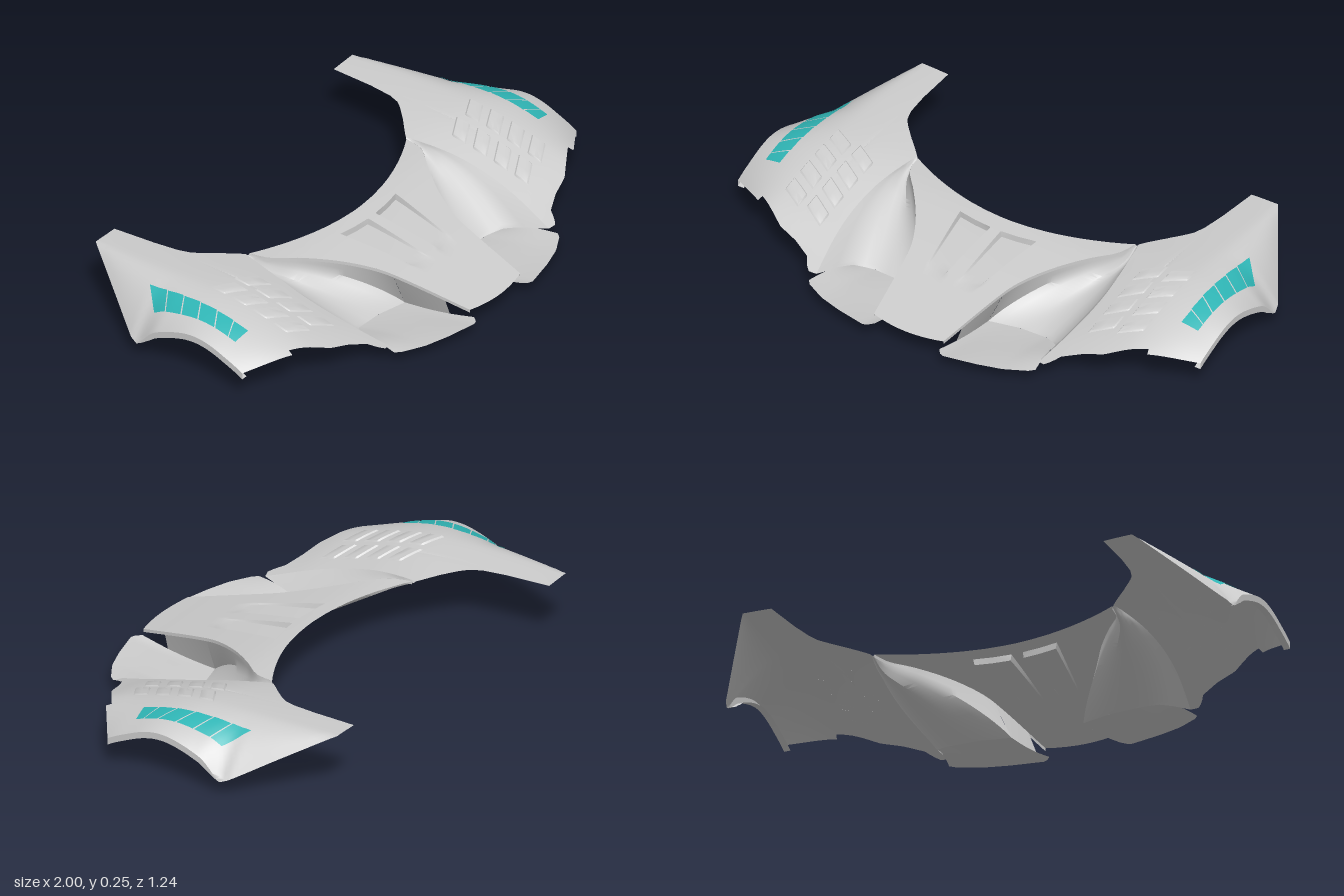
import * as THREE from 'three';
import { toCreasedNormals } from 'three/addons/utils/BufferGeometryUtils.js';

const grey = new THREE.MeshStandardMaterial({ color: 0xcccccc, side: THREE.DoubleSide });
const teal = new THREE.MeshStandardMaterial({ color: 0x2fb5b5, side: THREE.DoubleSide });
const { lerp, clamp } = THREE.MathUtils;
const steps = (n, a = 0, b = 1) => Array.from({ length: n + 1 }, (_, i) => lerp(a, b, i / n));

// Interpolates [input, value] pairs, straight or smoothed
function curve(pts, smooth = false) {
  const slope = (i) => {
    const a = pts[Math.max(i - 1, 0)], b = pts[Math.min(i + 1, pts.length - 1)];
    return (b[1] - a[1]) / (b[0] - a[0]);
  };
  return (x) => {
    if (x <= pts[0][0]) return pts[0][1];
    if (x >= pts[pts.length - 1][0]) return pts[pts.length - 1][1];
    let i = 0;
    while (x > pts[i + 1][0]) i++;
    const [x0, y0] = pts[i], [x1, y1] = pts[i + 1], h = x1 - x0, t = (x - x0) / h;
    if (!smooth) return lerp(y0, y1, t);
    return y0 * (1 + 2 * t) * (1 - t) ** 2 + y1 * t * t * (3 - 2 * t)
      + h * slope(i) * t * (1 - t) ** 2 - h * slope(i + 1) * t * t * (1 - t);
  };
}

// Sheet sampled at us (across) and vs (back to front)
function sheet(name, us, vs, f, mat = grey, side = 1) {
  const pos = [], idx = [], n = vs.length;
  us.forEach((u) => vs.forEach((v) => {
    const [x, y, z] = f(u, v);
    pos.push(x * side, y, z);
  }));
  for (let i = 0; i < us.length - 1; i++) {
    for (let j = 0; j < n - 1; j++) {
      const a = i * n + j, b = a + 1, c = a + n, d = c + 1;
      idx.push(...(side > 0 ? [a, b, c, b, d, c] : [a, c, b, b, c, d]));
    }
  }
  const g = new THREE.BufferGeometry();
  g.setAttribute('position', new THREE.Float32BufferAttribute(pos, 3));
  g.setIndex(idx);
  const mesh = new THREE.Mesh(toCreasedNormals(g, 0.7), mat);
  mesh.name = name;
  return mesh;
}

// Fender outline and heights
const backZ = curve([[0.47, -0.16], [0.5, -0.19], [0.55, -0.235], [0.6, -0.285], [0.62, -0.312], [0.635, -0.355],
  [0.647, -0.45], [0.656, -0.62], [0.77, -0.62], [0.99, -0.3], [1, -0.27]]);
const frontZ = curve([[0.47, 0.46], [0.51, 0.47], [0.53, 0.45], [0.55, 0.42], [0.62, 0.39], [0.7, 0.37],
  [0.78, 0.32], [0.835, 0.285], [0.842, 0.305], [1, 0.2]]);
const outerX = curve([[-0.62, 0.771], [-0.3, 0.99], [-0.27, 1]]);
const ridgeY = curve([[-0.62, 0.235], [-0.35, 0.24], [-0.1, 0.24], [0, 0.23], [0.1, 0.21], [0.2, 0.185],
  [0.3, 0.158], [0.4, 0.12], [0.47, 0.1]], true);
const innerY = curve([[-0.62, 0.22], [-0.17, 0.203], [0, 0.175], [0.1, 0.15], [0.2, 0.125], [0.3, 0.1], [0.47, 0.055]], true);
const rimY = curve([[-0.62, 0.235], [-0.45, 0.147], [-0.28, 0.058], [-0.265, 0.06], [-0.2, 0.125], [-0.15, 0.15],
  [-0.1, 0.168], [-0.05, 0.18], [0, 0.182], [0.05, 0.173], [0.1, 0.155], [0.2, 0.108], [0.31, 0.03]], true);
function fenderY(x, z) {
  const r = ridgeY(z);
  return x < 0.77
    ? lerp(r, innerY(z), ((0.77 - x) / 0.3) ** 1.5)
    : lerp(r, rimY(z), Math.min(1, (x - 0.77) / (outerX(z) - 0.77)) ** 2);
}

// Seam between fender and air channel, bowed outward
const seamX = (t) => 0.48 + 0.045 * Math.sin(Math.PI * t);

// Fender columns past 1 fold down and inward around the wheel arch
const fenderColumns = [...steps(10, 0.48, 0.62), 0.635, 0.647, 0.656, ...steps(10, 0.67, 0.835),
  ...steps(14, 0.842, 0.99), 1, 1.1, 1.2];
function fenderPoint(u, t) {
  const edge = Math.min(u, 1), z = lerp(backZ(edge), frontZ(edge), t);
  const x = edge + (seamX(t) - 0.48) * clamp((0.62 - edge) / 0.14, 0, 1);
  const fold = u > 1 ? 0.025 * clamp((z + 0.27) / 0.06, 0, 1) : 0;
  return [u > 1.15 ? 0.975 : x, fenderY(x, z) - fold, z];
}

// Hood outline and height
const hoodEdgeX = curve([[-0.16, 0.47], [-0.08, 0.45], [0, 0.38], [0.1, 0.3], [0.2, 0.24], [0.28, 0.21], [0.58, 0.15]], true);
const hoodY = curve([[-0.16, 0.207], [-0.03, 0.205], [0.1, 0.187], [0.3, 0.148], [0.6, 0.08]], true);
const hoodEdgeZ = curve([[-0.03, -0.16], [0.03, -0.1], [0.15, 0.05], [0.3, 0.26], [0.35, 0.32], [0.6, 0.58]]);

// Hood half: columns 1-2 and 3-4 are the walls of a ramped vent
function hoodPoint(u, zc) {
  const ze = hoodEdgeZ(zc), xe = hoodEdgeX(ze);
  const t = clamp((zc - 0.035) / 0.3, 0, 1);
  const inner = 0.022 + 0.01 * t, outer = 0.165 - 0.055 * t;
  const x = curve([[0, 0], [1, inner], [2, inner + 0.004], [3, outer - 0.004], [4, outer], [5, xe]])(Math.min(u, 5));
  const z = zc + (ze - zc) * (x / xe) ** 2;
  const sunk = u >= 2 && u <= 3 && zc > 0.034 ? 0.022 * (1 - t) : 0;
  return [x, hoodY(z) - sunk - (u > 5 ? 0.012 : 0), z];
}

// Air channel: soft hollow at the back, undercut below the hood at the front lip
const softSink = curve([[0, 0], [0.08, 0.4], [0.3, 1], [0.6, 0.85], [0.85, 0.25], [1, 0]], true);
const lipSink = curve([[0, 0], [0.08, 1], [0.6, 1], [0.85, 0.8], [1, 0]]);
const channelLip = curve([[0, 0.28], [0.08, 0.285], [0.3, 0.257], [0.6, 0.253], [0.85, 0.29], [1, 0.4625]]);
const undercut = curve([[0, 0], [0.08, 0.09], [0.3, 0.03], [0.6, 0]]);
function channelPoint(w, t) {
  const zh = lerp(-0.16, 0.28, t), zg = lerp(backZ(0.48), frontZ(0.48), t);
  const rim = lerp(hoodY(zh), fenderY(seamX(t), zg), w);
  const sink = lerp(softSink(w), lipSink(w), t * t);
  return [
    lerp(hoodEdgeX(zh), seamX(t), w) - undercut(w) * t * t,
    lerp(rim, Math.min(0.2 * (1 - t), rim), sink),
    lerp(lerp(-0.16, backZ(0.48), w), channelLip(w), t),
  ];
}

// Front tray, growing out of the channel lip and bowed up along its outer side
const trayFront = curve([[0, 0.59], [0.07, 0.62], [0.45, 0.59], [0.72, 0.56], [0.95, 0.515], [1, 0.495]]);
function trayPoint(s, t) {
  const [x, y, z] = channelPoint(lerp(0.08, 0.85, s), 1);
  const bow = (0.022 * s - 0.008) * Math.sin(Math.PI * t);
  return [lerp(x, lerp(0.14, 0.49, s), t), lerp(y, 0.053 - 0.006 * s, t) + bow, lerp(z, trayFront(s), t)];
}

// Wall closing the gap between hood edge and tray
function wallPoint(u, t) {
  const z = lerp(0.28, 0.48, t), [x, y, zt] = trayPoint(0, 0.65 * t);
  return [lerp(hoodEdgeX(z), x, u), lerp(hoodY(z), y, u), lerp(z, zt, u)];
}

function addLouvers(group, side) {
  // Two columns of four slanted slats, tallest at the rear
  const lift = curve([[0, 0], [0.1, 0.006], [0.9, 0.004], [1, 0]]);
  for (const [x0, x1, z0] of [[0.58, 0.665, -0.062], [0.69, 0.775, -0.085]]) {
    for (let k = 0; k < 4; k++) {
      group.add(sheet('fenderLouver', [0, 0.05, 0.5, 0.95, 1], [0, 0.1, 0.5, 0.9, 1], (u, v) => {
        const x = lerp(x0, x1, u), z = z0 + 0.092 * k + 0.062 * v - 0.042 * (u - 0.5);
        return [x, fenderY(x, z) + (u === 0 || u === 1 ? 0 : lift(v)), z];
      }, grey, side));
    }
  }
}

function addLights(group, side) {
  // Row of coloured panes along the fender shoulder
  const innerZ = [-0.318, -0.235, -0.16, -0.085, -0.01, 0.065, 0.132];
  const outerZ = [-0.24, -0.19, -0.12, -0.045, 0.03, 0.09, 0.122];
  for (let k = 0; k < 6; k++) {
    group.add(sheet('lightPane', steps(5), steps(4), (u, v) => {
      const t = lerp(0.04, 0.96, v);
      const z = lerp(lerp(innerZ[k], innerZ[k + 1], t), lerp(outerZ[k], outerZ[k + 1], t), u);
      const x = lerp(0.857 + 0.012 * k / 5, 0.935, u);
      return [x, fenderY(x, z) + 0.003, z];
    }, teal, side));
  }
}

export function createModel() {
  const model = new THREE.Group();
  model.name = 'frontBodyPanel';
  const hoodColumns = [0, 0.5, 1, 2, 2.5, 3, 4, ...steps(10, 4.1, 5), 5.1];
  const hoodRows = [-0.03, 0, 0.034, 0.036, ...steps(24, 0.06, 0.6)];
  const channelColumns = [0, 0.04, 0.08, 0.15, 0.3, 0.45, 0.6, 0.72, 0.85, 0.92, 1];
  for (const side of [1, -1]) {
    const half = new THREE.Group();
    half.name = side > 0 ? 'leftHalf' : 'rightHalf';
    half.add(sheet('hood', hoodColumns, hoodRows, hoodPoint, grey, side));
    half.add(sheet('airChannel', channelColumns, steps(32), channelPoint, grey, side));
    half.add(sheet('channelWall', steps(3), steps(8), wallPoint, grey, side));
    half.add(sheet('frontTray', steps(20), steps(10), trayPoint, grey, side));
    half.add(sheet('fender', fenderColumns, steps(32), fenderPoint, grey, side));
    addLouvers(half, side);
    addLights(half, side);
    model.add(half);
  }
  return model;
}
